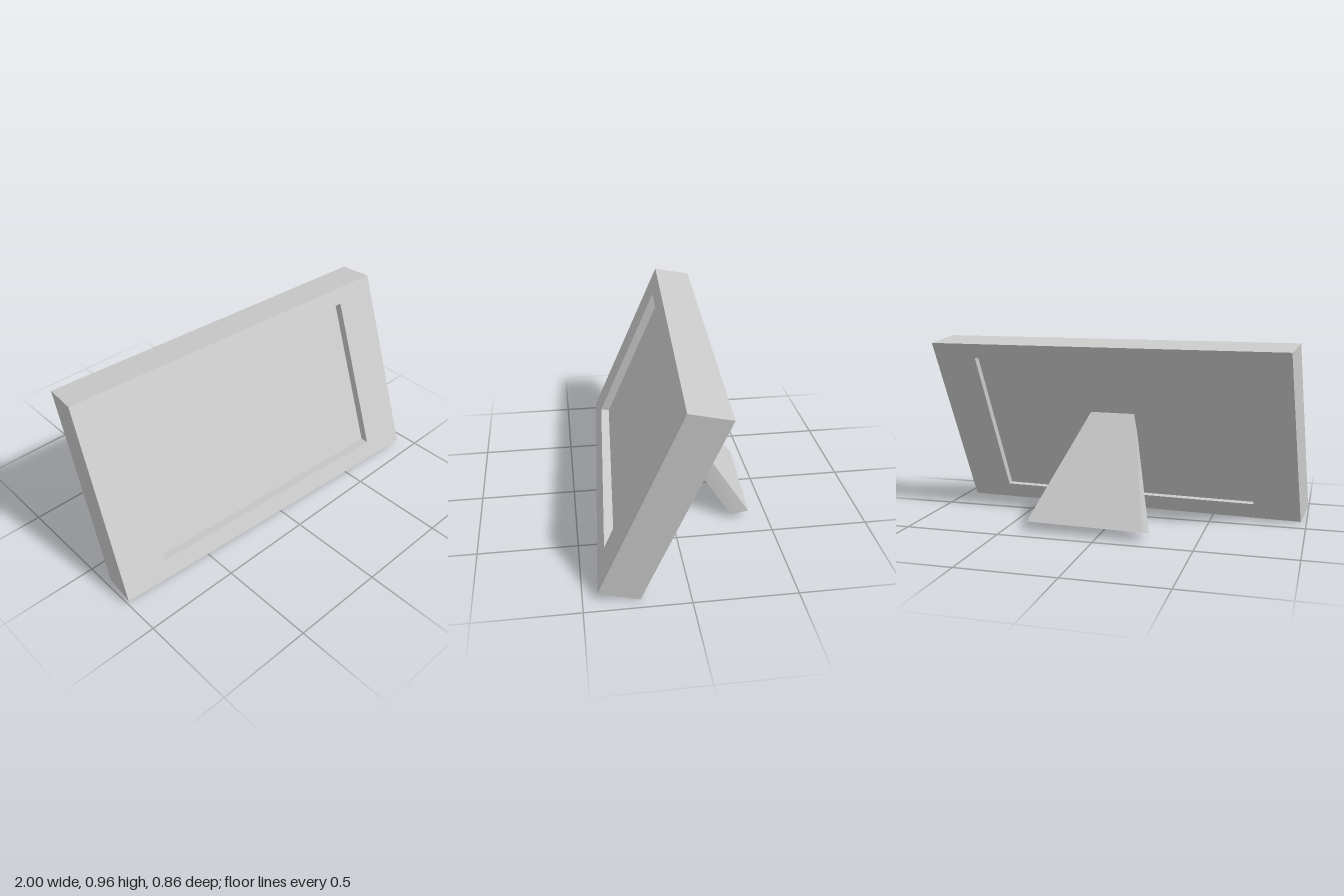
import * as THREE from 'three';

const material = new THREE.MeshStandardMaterial({ color: 0xcccccc });

// Leaning, slightly skewed frame space: x = width, y = height, z = back to front, each 0..1
const frameSpace = new THREE.Matrix4()
  .makeBasis(
    new THREE.Vector3(1.915, 0, 0.115),
    new THREE.Vector3(0.055, 0.93, -0.395),
    new THREE.Vector3(-0.03, 0.03, 0.195))
  .setPosition(-0.97, 0, 0.12);

const opening = { left: 0.127, right: 0.877, bottom: 0.091, top: 0.916 };

function addPart(group, name, geometry) {
  const mesh = new THREE.Mesh(geometry, material);
  mesh.name = name;
  group.add(mesh);
}

function rectangle(path, l, r, b, t) {
  return path.moveTo(l, b).lineTo(r, b).lineTo(r, t).lineTo(l, t).closePath();
}

// Thick border with a rectangular opening
function frameGeometry() {
  const { left, right, bottom, top } = opening;
  const shape = rectangle(new THREE.Shape(), 0, 1, 0, 1);
  shape.holes.push(rectangle(new THREE.Path(), left, right, bottom, top));
  return new THREE.ExtrudeGeometry(shape, { depth: 1, bevelEnabled: false })
    .applyMatrix4(frameSpace);
}

// Panel recessed from both the front and the back of the border
function panelGeometry() {
  const { left, right, bottom, top } = opening;
  const back = 0.16, front = 0.76;
  return new THREE.BoxGeometry(right - left, top - bottom, front - back)
    .translate((left + right) / 2, (bottom + top) / 2, (back + front) / 2)
    .applyMatrix4(frameSpace);
}

// Tapered strut: each end has its own centre, width and depth direction
function standGeometry() {
  const foot = {
    centre: new THREE.Vector3(0.065, 0.035, -0.371),
    width: new THREE.Vector3(0.615, 0, 0.034),
    depth: new THREE.Vector3(-0.015, -0.026, 0.088),
  };
  const head = {
    centre: new THREE.Vector3(0.022, 0.518, -0.005),
    width: new THREE.Vector3(0.24, 0, 0.015),
    depth: new THREE.Vector3(-0.005, -0.105, 0.046),
  };
  const geometry = new THREE.BoxGeometry(1, 1, 1);
  const position = geometry.attributes.position;
  const p = new THREE.Vector3();
  for (let i = 0; i < position.count; i++) {
    const end = position.getY(i) > 0 ? head : foot;
    p.copy(end.centre)
      .addScaledVector(end.width, position.getX(i))
      .addScaledVector(end.depth, position.getZ(i));
    position.setXYZ(i, p.x, p.y, p.z);
  }
  geometry.computeVertexNormals();
  return geometry;
}

export function createModel() {
  const group = new THREE.Group();
  group.name = 'pictureFrame';
  addPart(group, 'border', frameGeometry());
  addPart(group, 'picturePanel', panelGeometry());
  addPart(group, 'stand', standGeometry());
  return group;
}
